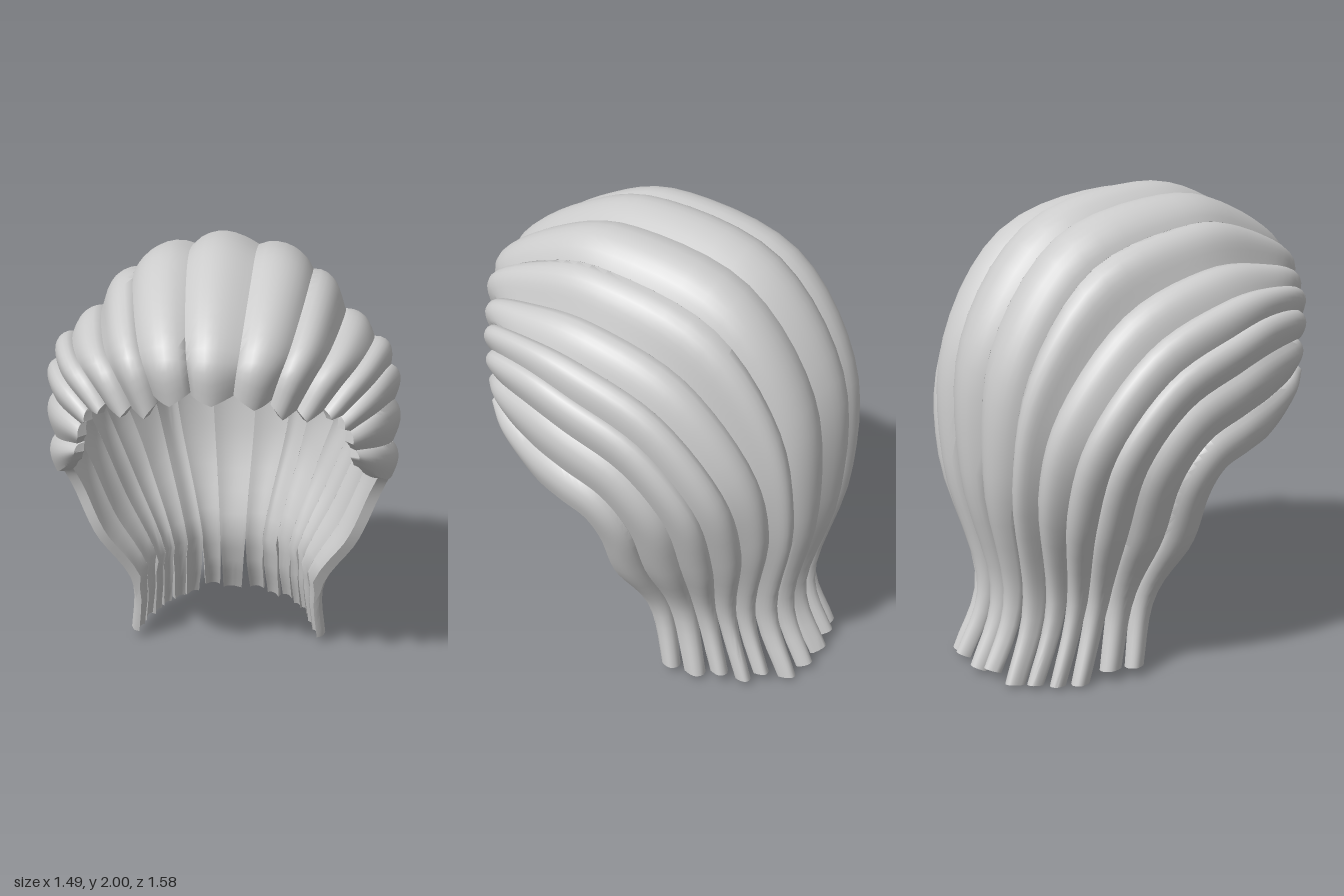
import * as THREE from 'three';
import { toCreasedNormals } from 'three/addons/utils/BufferGeometryUtils.js';

// Guide paths from the front hairline, over the head, down to the nape (x, y, z);
// ordered from the crown to the lower edge beside the face.
const crown = [[0, 1.5, .77], [0, 1.71, .75], [0, 1.91, .46], [0, 2, .1], [0, 1.87, -.42], [0, 1.43, -.74], [0, .88, -.77], [0, .35, -.65]];
const upper = [[.18, 1.47, .74], [.24, 1.69, .72], [.3, 1.86, .43], [.33, 1.92, .1], [.33, 1.78, -.4], [.3, 1.37, -.69], [.24, .88, -.74], [.15, .35, -.64]];
const temple = [[.3, 1.43, .69], [.41, 1.63, .63], [.48, 1.71, .38], [.52, 1.72, .05], [.5, 1.57, -.33], [.44, 1.22, -.6], [.37, .85, -.66], [.26, .35, -.56]];
const ear = [[.46, 1.4, .62], [.6, 1.51, .5], [.68, 1.53, .28], [.71, 1.48, .06], [.69, 1.34, -.24], [.63, 1.06, -.45], [.51, .72, -.47], [.37, .35, -.42]];
const cheek = [[.56, 1.21, .53], [.64, 1.12, .42], [.7, 1.04, .26], [.73, 1, .12], [.73, .95, 0], [.69, .83, -.05], [.6, .6, -.06], [.45, .33, -.13]];
const guides = [crown, upper, temple, ear, cheek];
const LAST = guides.length - 1;
const SEAMS = [.4, 1.2, 2, 2.55, 3, 3.35, 3.7, 4];
const RINGS = 40, ACROSS = 8, HEM = 7 / 8;

const { clamp, lerp } = THREE.MathUtils;
const hash = (n) => { const s = Math.sin(n * 12.9898 + 4.1) * 43758.5453; return s - Math.floor(s); };

// All guide curves from right edge to left edge, each flicking back below the hem
const curves = [];
for (let k = -LAST; k <= LAST; k++) {
  const points = guides[Math.abs(k)].map(([x, y, z]) => new THREE.Vector3(x * Math.sign(k), y, z));
  const hem = points[points.length - 1];
  points.push(new THREE.Vector3(hem.x * 1.04, .01, hem.z * 1.13 - .04));
  curves.push(new THREE.CatmullRomCurve3(points, false, 'catmullrom'));
}

// Point on the smooth base surface: u runs across the head, t along the hair
function surface(u, t) {
  const row = new THREE.CatmullRomCurve3(curves.map((c) => c.getPoint(clamp(t, 0, 1))), false, 'catmullrom');
  return row.getPoint(clamp((u + LAST) / (2 * LAST), 0, 1));
}

function surfaceNormal(u, t) {
  const du = surface(u + .1, t).sub(surface(u - .1, t));
  const dt = surface(u, t + .02).sub(surface(u, t - .02));
  return du.cross(dt).normalize();
}

// One thick strand between two seams, ending in a separate blunt tip
function strandGeometry(u0, u1, seed) {
  const pos = [], index = [], ring = 2 * (ACROSS + 1);
  const mid = (u0 + u1) / 2;
  const depth = .018 + .025 * (u1 - u0);
  const start = .02 * hash(seed), end = 1 - .018 * hash(seed + 50);
  const lean = (hash(seed + 90) - .5) * .2;

  for (let i = 0; i <= RINGS; i++) {
    const v = i / RINGS;
    const tip = clamp((v - HEM) / (1 - HEM), 0, 1);
    const front = Math.max(0, 1 - v * 9);
    const outer = [], inner = [];
    for (let j = 0; j <= ACROSS; j++) {
      const f = j / ACROSS;
      const u = mid + (u1 - u0) * ((f - .5) * (1 - .28 * tip) + lean * tip);
      const t = lerp(start, end, v) + front * .02 * Math.abs(2 * f - 1);
      // the ridge sits nearer the seam that faces the crown
      const ridge = Math.sin(Math.PI * Math.pow(mid < 0 ? 1 - f : f, .8));
      const p = surface(u, t), n = surfaceNormal(u, t);
      // the lining stops at the hem, leaving a small ledge above thinner tips
      const thick = tip > 0 ? .04 : .065 - .02 * front;
      outer.push(p.clone().addScaledVector(n, .012 - depth * (1 - ridge)));
      inner.push(p.addScaledVector(n, .012 * ridge - thick));
    }
    for (const p of [...outer, ...inner.reverse()]) pos.push(p.x, p.y, p.z);
  }

  for (let i = 0; i < RINGS; i++) {
    for (let j = 0; j < ring; j++) {
      const a = i * ring + j, b = i * ring + (j + 1) % ring;
      index.push(a, b, b + ring, a, b + ring, a + ring);
    }
  }
  // end caps at the hairline and the tip
  const last = RINGS * ring;
  for (let a = 0; a < ACROSS; a++) {
    const b = a + 1, c = ring - 2 - a, d = ring - 1 - a;
    index.push(a, c, b, a, d, c);
    index.push(last + a, last + b, last + c, last + a, last + c, last + d);
  }
  const geo = new THREE.BufferGeometry();
  geo.setAttribute('position', new THREE.Float32BufferAttribute(pos, 3));
  geo.setIndex(index);
  return toCreasedNormals(geo, .9);
}

export function createModel() {
  const model = new THREE.Group();
  model.name = 'wig';
  const material = new THREE.MeshStandardMaterial({ color: 0xcccccc, side: THREE.DoubleSide });
  const edges = [...SEAMS.map((s) => -s).reverse(), ...SEAMS];

  for (let k = 0; k < edges.length - 1; k++) {
    const strand = new THREE.Mesh(strandGeometry(edges[k], edges[k + 1], k + 1), material);
    const mid = (edges[k] + edges[k + 1]) / 2;
    strand.name = Math.abs(mid) < 1 ? `crownStrand${k}` : mid < 0 ? `rightStrand${k}` : `leftStrand${k}`;
    model.add(strand);
  }
  return model;
}
